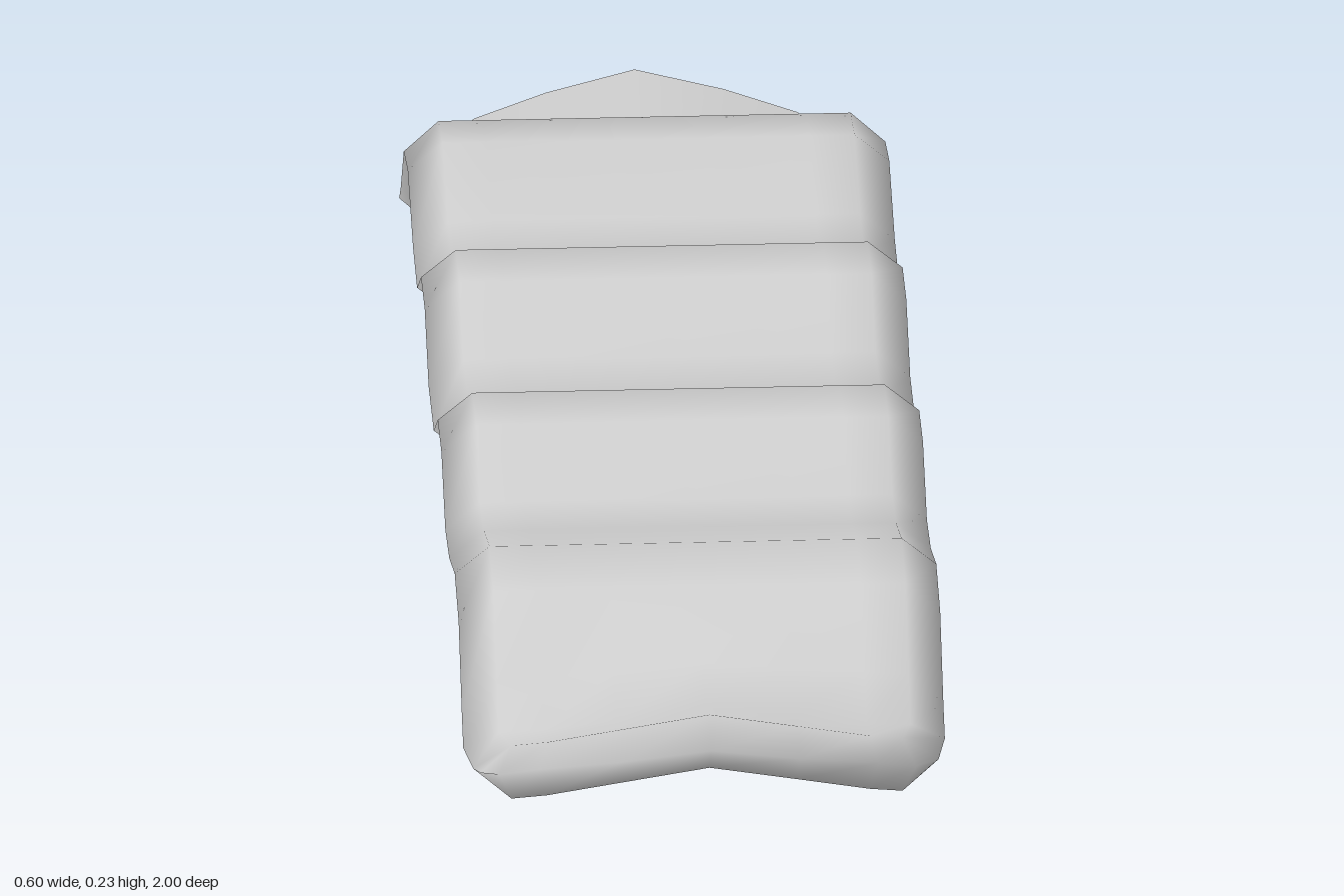
import * as THREE from 'three';
import { mergeVertices } from 'three/addons/utils/BufferGeometryUtils.js';

// Mid-surface height along half of the strip: [z, y]
const WAVE = [[0, 0.135], [0.065, 0.135], [0.165, 0.195], [0.26, 0.195], [0.36, 0.135], [0.46, 0.142],
  [0.6, 0.185], [0.7, 0.165], [0.78, 0.078], [0.83, 0.038], [0.88, 0.042], [0.93, 0.06], [0.97, 0.08], [1, 0.08]];
const HALF_THICKNESS = 0.036;

// Columns across half the width; the last is the rounded side rim
const COLS = [0, 0.11, 0.2, 0.255, 0.298];
// Rounded ends: upper lip and outermost rim, per column
const LIP_X = [0, 0.11, 0.2, 0.242, 0.288];
const LIP_Z = [0.96, 0.948, 0.928, 0.895, 0.865];
const RIM_X = [0, 0.11, 0.21, 0.258, 0.28];
const RIM_Z = [1, 0.99, 0.955, 0.915, 0.885];
const STRAIGHT = [0.065, 0.165, 0.26, 0.36, 0.46, 0.6, 0.7, 0.78];

function height(x, z) {
  const i = Math.max(1, WAVE.findIndex((p) => p[0] >= z));
  const [z0, y0] = WAVE[i - 1], [z1, y1] = WAVE[i];
  const y = y0 + (y1 - y0) * (z - z0) / (z1 - z0);
  // the middle of each end arches up
  const ramp = THREE.MathUtils.clamp((z - 0.7) / 0.16, 0, 1);
  return y + 0.04 * ramp * Math.max(0, 1 - x / 0.25);
}

// Position of a column at station s (0..7 straight, 8 trough, 9 lip, 10 rim)
function plan(s, c) {
  if (s < 8) return [COLS[c], STRAIGHT[s]];
  if (s === 8) return [COLS[c], 0.78 + (LIP_Z[c] - 0.78) * 0.45];
  return s === 9 ? [LIP_X[c], LIP_Z[c]] : [RIM_X[c], RIM_Z[c]];
}

// Closed cross-section: across the top, then back along the underside
function section(s, end) {
  const ring = [];
  const add = (col, side) => {
    const c = Math.abs(col);
    const [x, z] = plan(s, c);
    const t = s === 10 || c === 4 ? 0 : HALF_THICKNESS * (s > 5 && s < 8 ? 1.12 : 1);
    ring.push([Math.sign(col) * x, height(x, z) + side * t, end * z]);
  };
  for (let col = 4; col >= -4; col--) add(col, 1);
  for (let col = -3; col <= 3; col++) add(col, -1);
  return ring;
}

function stripGeometry() {
  const rings = [];
  for (let s = 10; s >= 0; s--) rings.push(section(s, -1));
  for (let s = 0; s <= 10; s++) rings.push(section(s, 1));
  const n = rings[0].length, index = [];
  for (let k = 0; k < rings.length - 1; k++) {
    for (let i = 0; i < n; i++) {
      const j = (i + 1) % n;
      const a = k * n + i, b = k * n + j, c = b + n, d = a + n;
      index.push(a, b, c, a, c, d);
    }
  }
  const geometry = new THREE.BufferGeometry();
  geometry.setAttribute('position', new THREE.Float32BufferAttribute(rings.flat(2), 3));
  geometry.setIndex(index);
  const welded = mergeVertices(geometry, 1e-4);
  welded.computeVertexNormals();
  return welded;
}

export function createModel() {
  const group = new THREE.Group();
  group.name = 'wavyStrip';
  const grey = new THREE.MeshStandardMaterial({ color: 0xcccccc });
  grey.name = 'light grey';
  const strip = new THREE.Mesh(stripGeometry(), grey);
  strip.name = 'strip';
  group.add(strip);
  return group;
}
